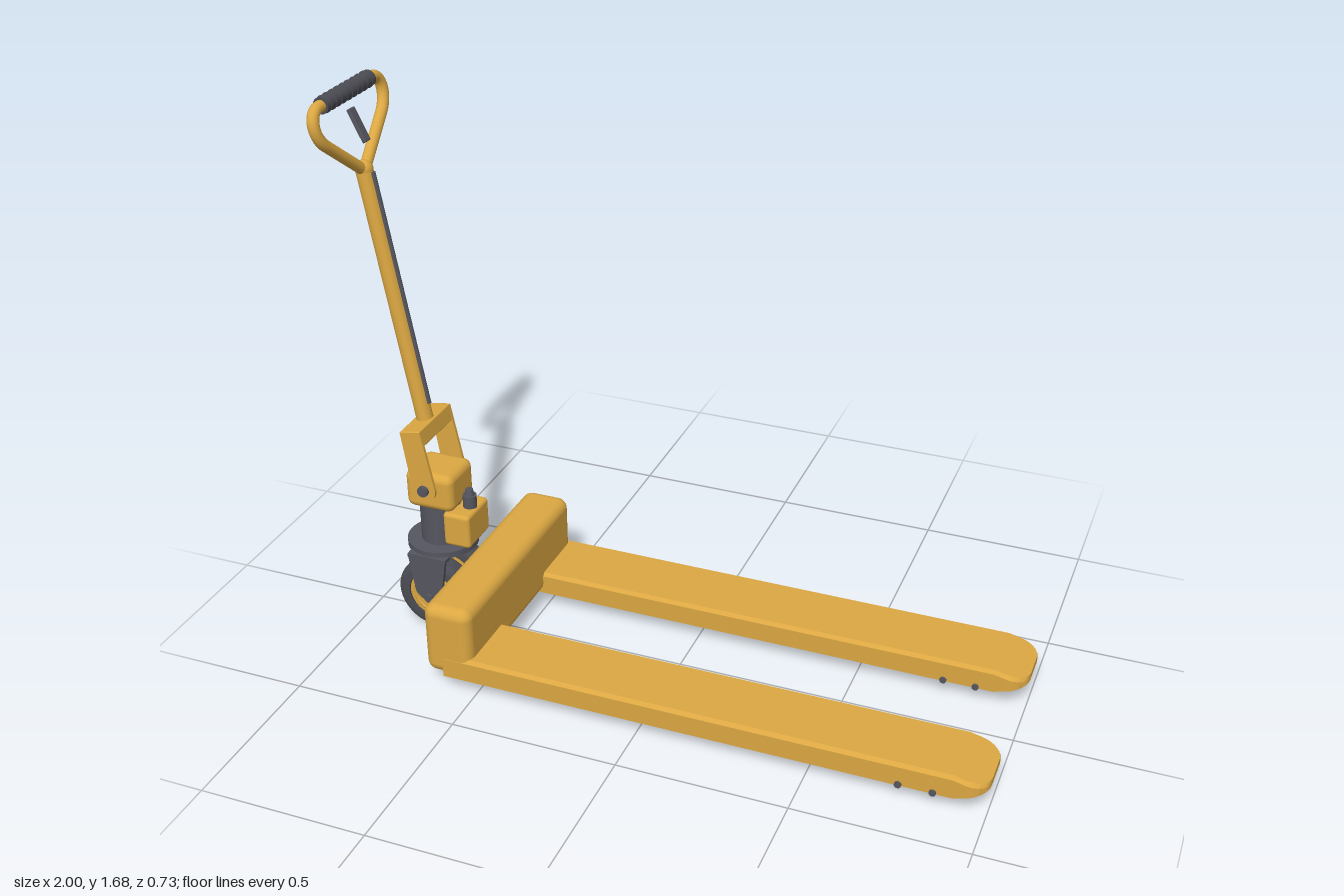
import * as THREE from 'three';
import { toCreasedNormals } from 'three/addons/utils/BufferGeometryUtils.js';
import { RoundedBoxGeometry } from 'three/addons/geometries/RoundedBoxGeometry.js';

const mat = (name, color) => Object.assign(new THREE.MeshStandardMaterial({ color }), { name });

export function createModel() {
  const yellow = mat('yellowPaint', 0xdba742);
  const steel = mat('darkSteel', 0x55565f);
  const rubber = mat('rubber', 0x4c4c54);
  const root = new THREE.Group();
  root.name = 'palletTruck';

  const add = (parent, name, geo, m, x = 0, y = 0, z = 0) => {
    const mesh = new THREE.Mesh(geo, m);
    mesh.name = name;
    mesh.position.set(x, y, z);
    parent.add(mesh);
    return mesh;
  };
  const cyl = (r, h, seg = 32, r2 = r) => new THREE.CylinderGeometry(r, r2, h, seg);
  const zCyl = (r, h, seg = 32) => cyl(r, h, seg).rotateX(Math.PI / 2);
  const rbox = (w, h, d, r) => new RoundedBoxGeometry(w, h, d, 4, r);

  // Solid of revolution about z with rounded shoulders, used for tyres and rollers
  const tyre = (r, width, inner, e) => {
    const pts = [new THREE.Vector2(inner, -width / 2)];
    for (const s of [-1, 1]) {
      for (let k = 0; k <= 5; k++) {
        const a = (s < 0 ? k : 5 - k) / 5 * Math.PI / 2;
        pts.push(new THREE.Vector2(r - e + e * Math.sin(a), s * (width / 2 - e + e * Math.cos(a))));
      }
    }
    pts.push(new THREE.Vector2(inner, width / 2), new THREE.Vector2(inner, -width / 2));
    return toCreasedNormals(new THREE.LatheGeometry(pts, 40).rotateX(Math.PI / 2), 0.6);
  };

  // Plate with a rounded lower end centred on the origin, thickness centred on z
  const lugPlate = (r, halfTop, height, depth) => {
    const s = new THREE.Shape();
    s.moveTo(halfTop, height);
    s.lineTo(-halfTop, height);
    s.lineTo(-r, 0);
    s.absarc(0, 0, r, Math.PI, Math.PI * 2, false);
    s.closePath();
    return new THREE.ExtrudeGeometry(s, { depth, bevelEnabled: false, curveSegments: 16 })
      .translate(0, 0, -depth / 2);
  };

  // Load fork: inverted channel with a tapered, rounded and closed tip
  const forkGeometry = () => {
    const H = 0.1075, R = 0.06, wall = 0.014, tipStart = 0.905;
    const sections = [[-0.6, H, false], [tipStart, H, false], [tipStart, H, true]];
    for (let k = 0; k <= 8; k++) {
      const a = k / 8 * Math.PI / 2;
      sections.push([1 - R + R * Math.sin(a), H - R + R * Math.cos(a), true]);
    }
    const pos = [], idx = [];
    for (const [x, h, closed] of sections) {
      const f = Math.max(0, (x - tipStart) / (1 - tipStart));
      const t = 0.115 - 0.022 * f, b = 0.045 + 0.026 * f, c = 0.01;
      const hi = h - wall, ti = closed ? b : t - wall;
      const outer = [[-h, b], [-h, t - c], [-h + c, t], [h - c, t], [h, t - c], [h, b]];
      const inner = [[hi, b], [hi, ti], [hi - c, ti], [c - hi, ti], [-hi, ti], [-hi, b]];
      for (const [z, y] of [...outer, ...inner]) pos.push(x, y, z);
    }
    const n = 12, last = (sections.length - 1) * n;
    for (let i = 0; i < last; i += n) {
      for (let j = 0; j < n; j++) {
        const k = (j + 1) % n;
        idx.push(i + j, i + k, i + n + j, i + k, i + n + k, i + n + j);
      }
    }
    for (let k = 0; k < 5; k++) {
      const [a, b, c, d] = [k, k + 1, 10 - k, 11 - k];
      idx.push(a, c, b, a, d, c);
      idx.push(last + a, last + b, last + c, last + a, last + c, last + d);
    }
    const g = new THREE.BufferGeometry();
    g.setAttribute('position', new THREE.Float32BufferAttribute(pos, 3));
    g.setIndex(idx);
    return toCreasedNormals(g, 0.5);
  };

  // Forks with their tandem load rollers
  const forkGeo = forkGeometry();
  for (const s of [-1, 1]) {
    const fork = new THREE.Group();
    fork.name = s > 0 ? 'leftFork' : 'rightFork';
    fork.position.z = s * 0.249;
    root.add(fork);
    add(fork, 'forkBeam', forkGeo, yellow);
    for (const x of [0.76, 0.855]) {
      add(fork, 'loadRoller', tyre(0.045, 0.084, 0.012, 0.012), rubber, x, 0.046);
      add(fork, 'rollerAxle', zCyl(0.01, 0.227, 16), steel, x, 0.05);
    }
    for (const z of [-0.054, 0.054]) {
      add(fork, 'rollerLink', rbox(0.135, 0.032, 0.012, 0.005), steel, 0.8075, 0.05, z);
    }
  }

  // Main body across the forks
  add(root, 'body', rbox(0.15, 0.227, 0.712, 0.033), yellow, -0.585, 0.1615);

  // Steering wheels, brackets and hydraulic pump
  const steer = new THREE.Group();
  steer.name = 'steeringUnit';
  steer.position.x = -0.77;
  root.add(steer);
  for (const s of [-1, 1]) {
    add(steer, 'steerTyre', tyre(0.118, 0.07, 0.078, 0.02), rubber, 0, 0.119, s * 0.057);
    add(steer, 'wheelHub', zCyl(0.079, 0.056), yellow, 0, 0.119, s * 0.057);
    add(steer, 'hubRing', new THREE.TorusGeometry(0.062, 0.005, 8, 40), yellow, 0, 0.119, s * 0.085);
    add(steer, 'wheelBracket', lugPlate(0.046, 0.063, 0.11, 0.012), steel, 0, 0.157, s * 0.107);
  }
  add(steer, 'wheelAxle', zCyl(0.014, 0.24, 20), steel, 0, 0.123);
  add(steer, 'turntable', cyl(0.107, 0.02, 40), steel, 0, 0.273);
  add(steer, 'bracketBridge', new THREE.BoxGeometry(0.126, 0.012, 0.226), steel, 0, 0.262);
  add(steer, 'kingpin', cyl(0.02, 0.15, 20), steel, 0, 0.19);
  add(steer, 'pumpCylinder', cyl(0.064, 0.16), steel, 0, 0.345);
  add(steer, 'pumpHead', rbox(0.155, 0.122, 0.15, 0.025), yellow, 0, 0.469);
  add(steer, 'valveBlock', rbox(0.086, 0.11, 0.136, 0.012), yellow, 0.082, 0.35);
  add(steer, 'valve', cyl(0.021, 0.045, 20), steel, 0.098, 0.422);
  add(steer, 'valveTip', cyl(0.011, 0.025, 16, 0.016), steel, 0.098, 0.452);

  // Tilted tow handle
  const handle = new THREE.Group();
  handle.name = 'towHandle';
  handle.position.set(-0.77, 0.49, 0);
  handle.rotation.z = 0.175;
  root.add(handle);
  add(handle, 'pivotPin', zCyl(0.013, 0.22, 20), steel);
  for (const s of [-1, 1]) {
    add(handle, 'yokeArm', lugPlate(0.037, 0.033, 0.19, 0.01), yellow, 0, 0, s * 0.092);
    add(handle, 'pivotBolt', zCyl(0.017, 0.012, 20), steel, 0, 0, s * 0.102);
  }
  add(handle, 'yokeBridge', rbox(0.066, 0.052, 0.194, 0.004), yellow, 0, 0.167);
  add(handle, 'handleTube', cyl(0.025, 0.78), yellow, 0, 0.565);
  add(handle, 'tubeCap', new THREE.SphereGeometry(0.026, 24, 16), yellow, 0, 0.96);
  add(handle, 'releaseRod', cyl(0.007, 0.71, 12), steel, 0.026, 0.595);

  // Triangular loop: straight runs joined by smooth corners
  const v = (y, z) => new THREE.Vector3(0, y, z);
  const loop = new THREE.CurvePath();
  loop.add(new THREE.LineCurve3(v(0.955, 0), v(1.075, 0.15)));
  loop.add(new THREE.CubicBezierCurve3(v(1.075, 0.15), v(1.115, 0.2), v(1.18, 0.19), v(1.18, 0.14)));
  loop.add(new THREE.LineCurve3(v(1.18, 0.14), v(1.18, -0.14)));
  loop.add(new THREE.CubicBezierCurve3(v(1.18, -0.14), v(1.18, -0.19), v(1.115, -0.2), v(1.075, -0.15)));
  loop.add(new THREE.LineCurve3(v(1.075, -0.15), v(0.955, 0)));
  add(handle, 'handleLoop', new THREE.TubeGeometry(loop, 120, 0.017, 14, false), yellow);

  // Ribbed grip and release lever
  add(handle, 'grip', zCyl(0.0235, 0.256), rubber, 0, 1.18);
  for (let k = 0; k < 9; k++) {
    add(handle, 'gripRib', new THREE.TorusGeometry(0.0225, 0.003, 6, 28), rubber, 0, 1.18, (k - 4) * 0.028);
  }
  add(handle, 'releaseLever', rbox(0.012, 0.1, 0.03, 0.003), steel, 0.017, 1.085).rotation.z = 0.28;

  return root;
}
